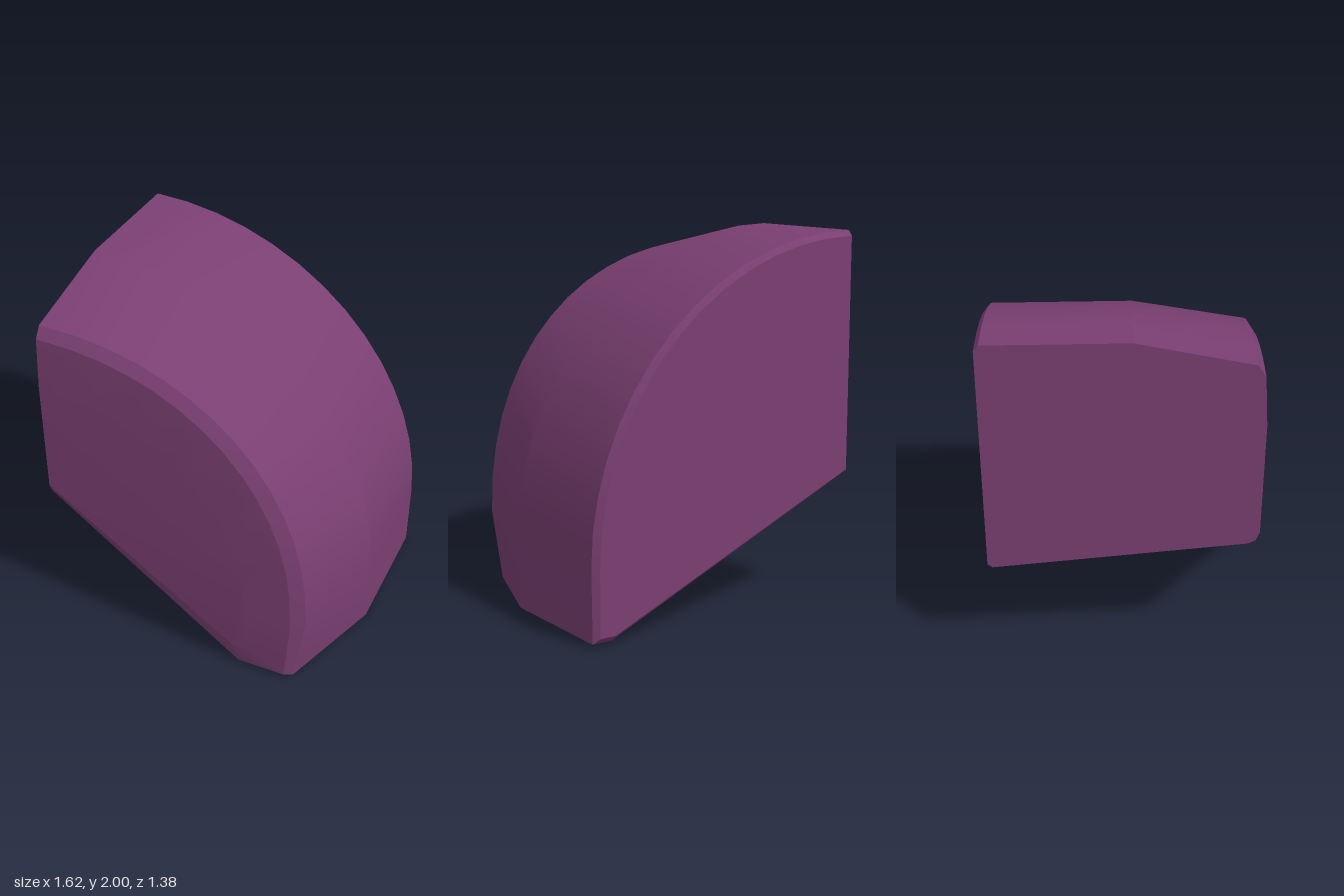
import * as THREE from 'three';
import { ConvexGeometry } from 'three/addons/geometries/ConvexGeometry.js';
import { toCreasedNormals } from 'three/addons/utils/BufferGeometryUtils.js';

const LEFT = -0.81;    // flat side plane
const SPRING = 0.4;    // height where the curved side begins
const STEPS = 14;

// Quarter super-ellipse from the flat side's top edge round to the curved side
function arc(z, rx, ry, n) {
  const pts = [];
  for (let i = 0; i <= STEPS; i++) {
    const a = (i / STEPS) * Math.PI / 2;
    pts.push(new THREE.Vector3(
      LEFT + rx * Math.pow(Math.sin(a), 2 / n),
      SPRING + ry * Math.pow(Math.max(0, Math.cos(a)), 2 / n), z));
  }
  return pts;
}

export function createModel() {
  const group = new THREE.Group();
  group.name = 'roundedWedge';

  // Cross-sections from back to front: arc, then lower corners [x, y]
  const sections = [
    { z: -0.69, rx: 1.58, ry: 1.56, n: 2, low: [[LEFT, 0.7], [0.68, 0.05], [0.77, 0.05]] },
    { z: -0.665, rx: 1.615, ry: 1.59, n: 2, low: [[LEFT, 0.68], [0.69, 0.02], [0.8, 0.02]] },
    { z: 0.05, rx: 1.62, ry: 1.6, n: 2, low: [[0.805, 0.015]] },
    { z: 0.32, rx: 0, ry: 0, n: 2, low: [[0.17, 0.015]] },
    { z: 0.63, rx: 1.47, ry: 1.48, n: 2.2, low: [[LEFT, 0.83], [0.28, 0.005], [0.6, 0]] },
    { z: 0.67, rx: 1.4, ry: 1.42, n: 2.2, low: [[LEFT, 0.85], [0.29, 0.02], [0.56, 0.02]] },
    { z: 0.69, rx: 1.15, ry: 1.14, n: 2.1, low: [[LEFT, 0.9], [0.26, 0.15], [0.32, 0.16]] },
  ];

  // The convex skin over the sections forms the body and its twisted underside
  const points = [];
  for (const s of sections) {
    if (s.rx > 0) points.push(...arc(s.z, s.rx, s.ry, s.n));
    for (const [x, y] of s.low) points.push(new THREE.Vector3(x, y, s.z));
  }
  const geometry = toCreasedNormals(new ConvexGeometry(points), 0.21);
  const body = new THREE.Mesh(geometry, new THREE.MeshStandardMaterial({ color: 0x7a3f72 }));
  body.name = 'body';
  group.add(body);
  return group;
}
